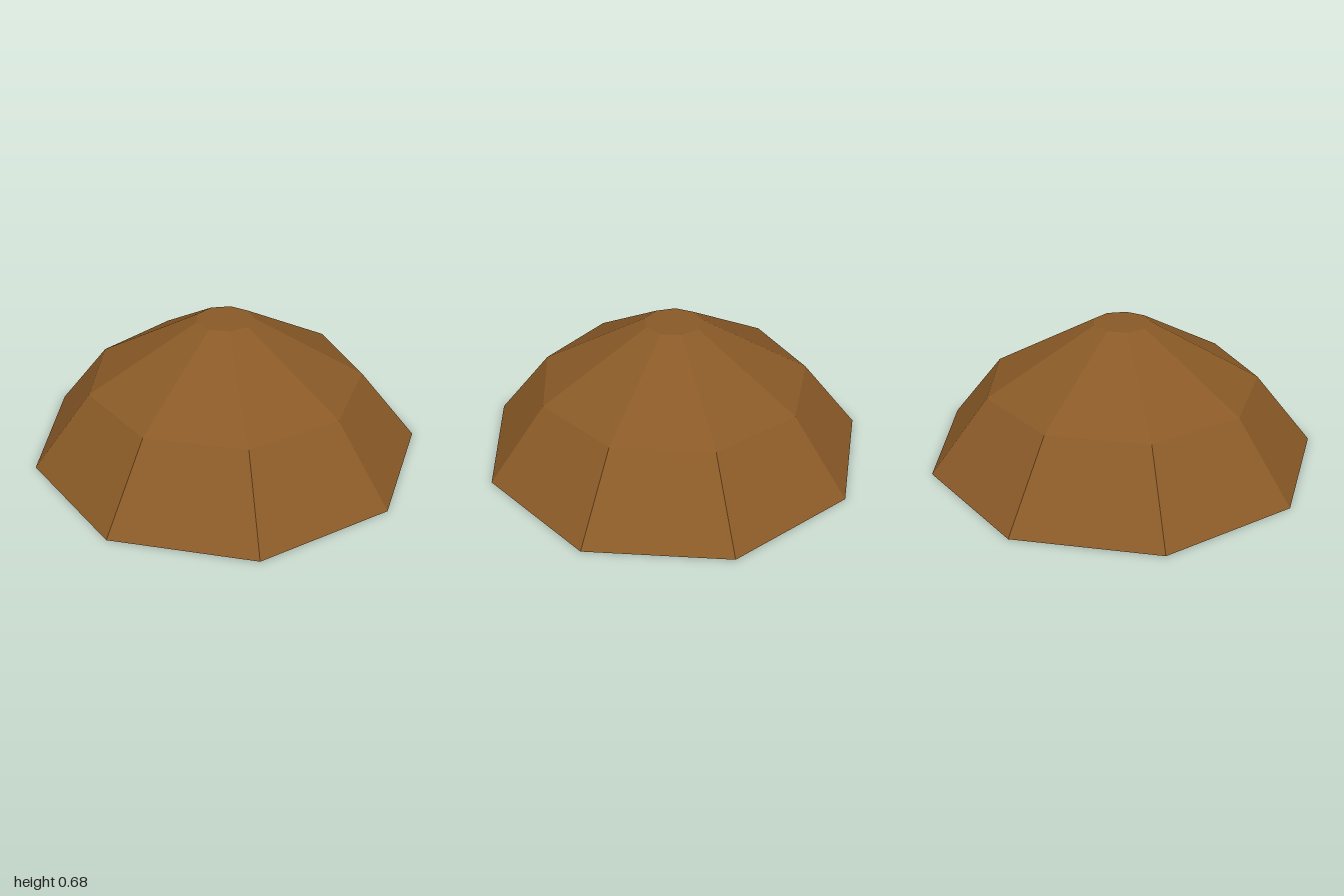
import * as THREE from 'three';

export function createModel() {
  const group = new THREE.Group();
  group.name = 'facetedMound';

  const brown = new THREE.MeshStandardMaterial({ color: 0x8a5a27, flatShading: true, side: THREE.DoubleSide });
  brown.name = 'earth brown';

  const SIDES = 9;
  const CENTRE_X = -0.03; // an odd-sided ring with its first corner on +x

  // One nine-sided tier, tapering from its bottom ring to its top ring
  function tier(name, bottomRadius, topRadius, y0, y1, open) {
    const geometry = new THREE.CylinderGeometry(
      topRadius, bottomRadius, y1 - y0, SIDES, 1, open, Math.PI / 2);
    const mesh = new THREE.Mesh(geometry, brown);
    mesh.name = name;
    mesh.position.set(CENTRE_X, (y0 + y1) / 2, 0);
    group.add(mesh);
  }

  // Hollow skirt, open underneath
  tier('lowerSkirt', 1.0154, 0.711, 0, 0.372, true);
  // Closed crown: flat top, and its underside is the ceiling of the skirt
  tier('upperCrown', 0.711, 0.15, 0.372, 0.68, false);

  return group;
}
